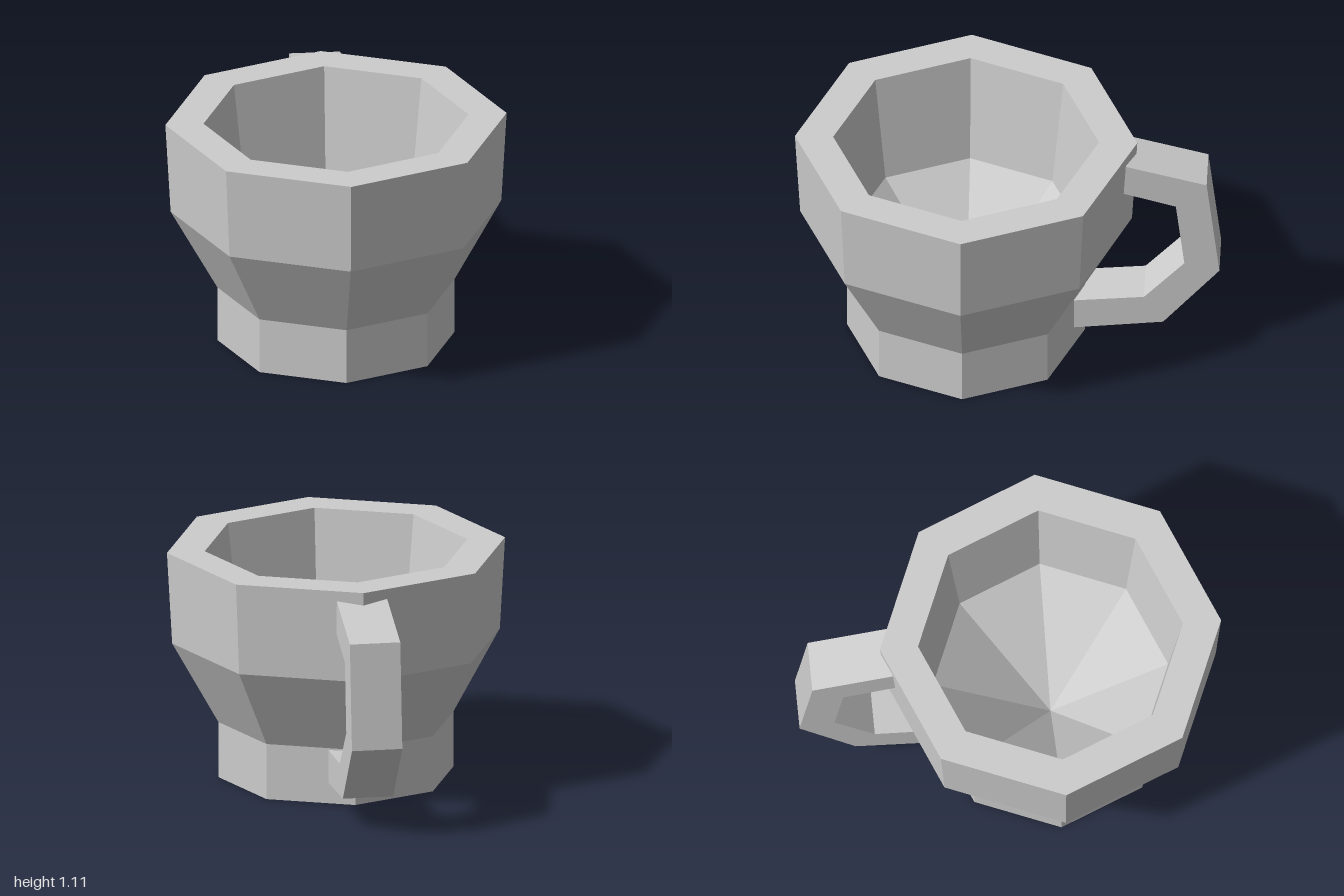
import * as THREE from 'three';

const clay = new THREE.MeshStandardMaterial({ color: 0xcccccc, flatShading: true });
clay.name = 'plain grey';

const points = (list) => list.map(([x, y]) => new THREE.Vector2(x, y));

function part(name, geometry) {
  const mesh = new THREE.Mesh(geometry, clay);
  mesh.name = name;
  return mesh;
}

export function createModel() {
  const group = new THREE.Group();
  group.name = 'cup';

  // Eight-sided body: foot, flare, upper wall, rim, then the hollow with its conical bottom
  const profile = points([
    [0, 0], [0.56, 0], [0.56, 0.27], [0.78, 0.665], [0.805, 1.11],
    [0.625, 1.11], [0.555, 0.57], [0, 0.07],
  ]);
  const body = part('body', new THREE.LatheGeometry(profile, 8));
  body.position.z = 0.195;
  group.add(body);

  // Angular handle at the back: side outline given as (distance behind centre, height)
  const outline = new THREE.Shape(points([
    [0.31, 0.1], [0.735, 0.145], [1, 0.455], [0.94, 0.96], [0.56, 1.06],
    [0.55, 0.9], [0.795, 0.83], [0.835, 0.495], [0.645, 0.29], [0.31, 0.26],
  ]));
  const width = 0.24;
  const bar = new THREE.ExtrudeGeometry(outline, { depth: width, bevelEnabled: false });
  bar.rotateY(Math.PI / 2);
  bar.translate(-width / 2, 0, 0);
  group.add(part('handle', bar));

  return group;
}
